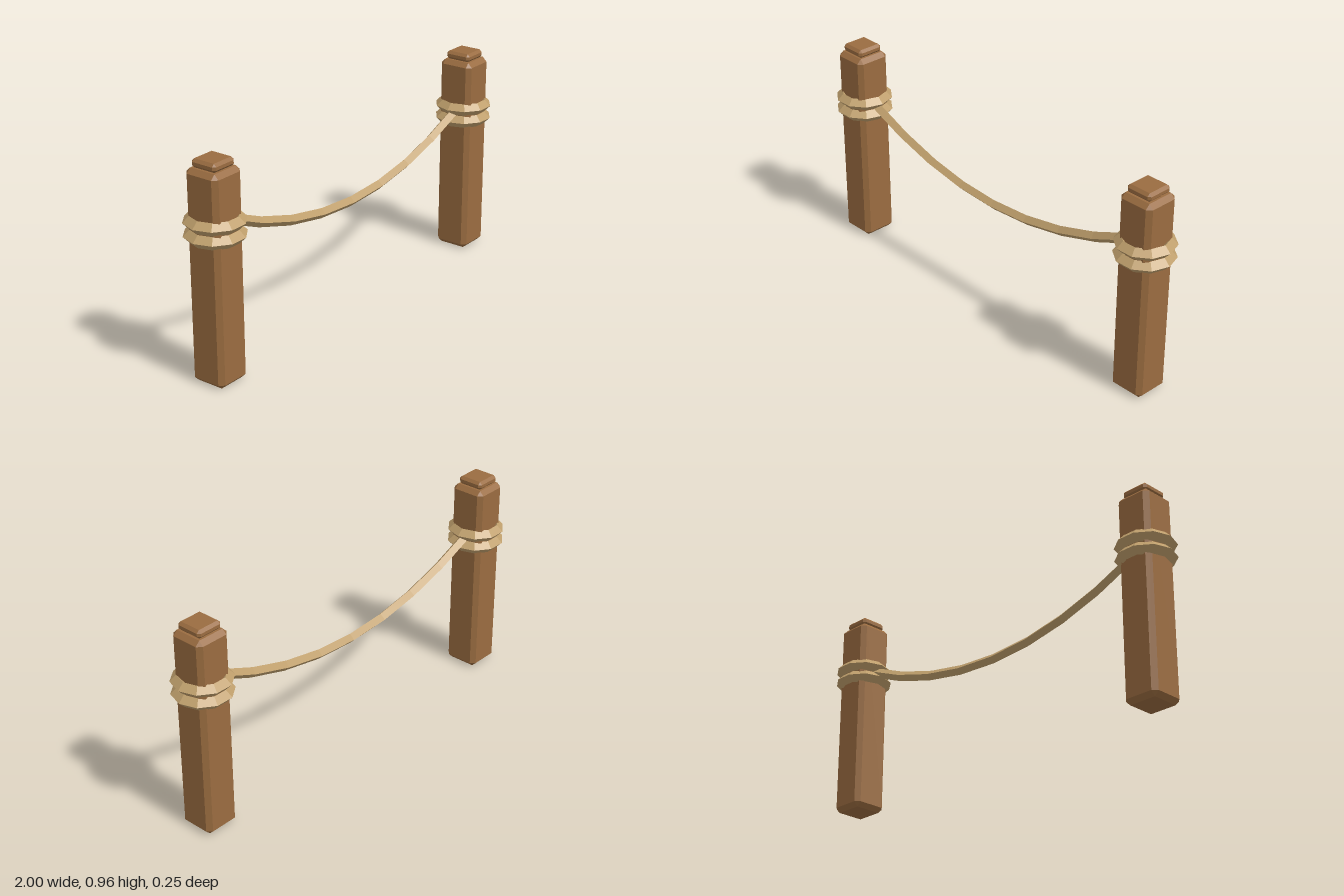
import * as THREE from 'three';
import { ConvexGeometry } from 'three/addons/geometries/ConvexGeometry.js';

const wood = new THREE.MeshStandardMaterial({ color: 0x9a6c40, flatShading: true });
const ropeMat = new THREE.MeshStandardMaterial({ color: 0xbf9f6c, flatShading: true });

// Box with all edges and corners chamfered by b, centred on its origin
function chamferedBox(w, h, d, b) {
  const points = [];
  for (const sx of [-1, 1]) for (const sy of [-1, 1]) for (const sz of [-1, 1]) {
    const x = w / 2, y = h / 2, z = d / 2;
    for (const [px, py, pz] of [[x, y - b, z - b], [x - b, y, z - b], [x - b, y - b, z]]) {
      points.push(new THREE.Vector3(sx * px, sy * py, sz * pz));
    }
  }
  return new ConvexGeometry(points);
}

function addMesh(parent, name, geometry, material, y) {
  const mesh = new THREE.Mesh(geometry, material);
  mesh.name = name;
  mesh.position.y = y;
  parent.add(mesh);
  return mesh;
}

export function createModel() {
  const model = new THREE.Group();
  model.name = 'ropeFence';

  // Two posts, each with a cap and two rope windings
  const postGeo = chamferedBox(0.164, 0.92, 0.164, 0.02);
  const capGeo = chamferedBox(0.124, 0.038, 0.124, 0.012);
  const windingGeo = new THREE.TorusGeometry(0.102, 0.028, 4, 10).rotateX(Math.PI / 2);
  for (const [side, name] of [[1, 'left'], [-1, 'right']]) {
    const group = new THREE.Group();
    group.name = name + 'Post';
    group.position.x = side * 0.87;
    addMesh(group, 'post', postGeo, wood, 0.46);
    addMesh(group, 'cap', capGeo, wood, 0.938);
    addMesh(group, 'lowerWinding', windingGeo, ropeMat, 0.64);
    addMesh(group, 'upperWinding', windingGeo, ropeMat, 0.698);
    model.add(group);
  }

  // Sagging rope between the posts
  const sag = new THREE.QuadraticBezierCurve3(
    new THREE.Vector3(-0.79, 0.675, 0),
    new THREE.Vector3(0, 0.301, 0),
    new THREE.Vector3(0.79, 0.675, 0)
  );
  addMesh(model, 'rope', new THREE.TubeGeometry(sag, 8, 0.023, 4), ropeMat, 0);

  return model;
}
